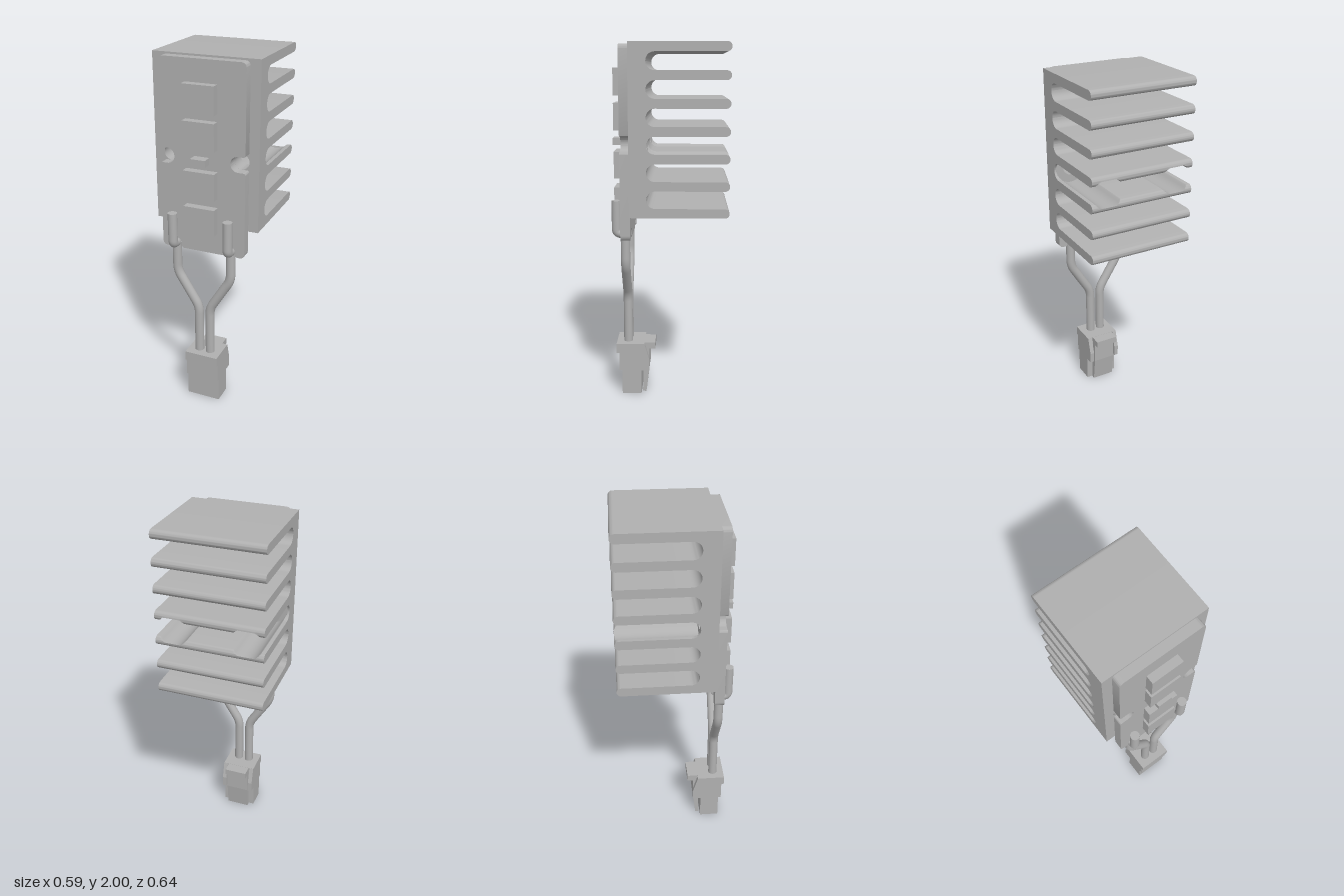
import * as THREE from 'three';
import { toCreasedNormals } from 'three/addons/utils/BufferGeometryUtils.js';

const grey = new THREE.MeshStandardMaterial({ color: 0xb0b0b0 });
grey.name = 'grey';

// Heat sink layout
const HALF_W = 0.295, TOP = 2, FIN = 0.05, FINS = 7, SLOT = (0.91 - FINS * FIN) / (FINS - 1);
const PITCH = FIN + SLOT, R = SLOT / 2, BASE_Z = 0.12, TIP_Z = -0.32;
const HOLE_Y = TOP - FIN - R - 3 * PITCH, HOLE_X = 0.2, HOLE_R = 0.042, GROOVE_R = 0.085;

function mesh(name, geometry) {
  const m = new THREE.Mesh(geometry, grey);
  m.name = name;
  return m;
}

function box(name, x0, x1, y0, y1, z0, z1) {
  const m = mesh(name, new THREE.BoxGeometry(x1 - x0, y1 - y0, z1 - z0));
  m.position.set((x0 + x1) / 2, (y0 + y1) / 2, (z0 + z1) / 2);
  return m;
}

// Extrudes an x-y shape from z0 to z1
function slab(name, shape, z0, z1) {
  const g = new THREE.ExtrudeGeometry(shape, { depth: z1 - z0, bevelEnabled: false, curveSegments: 16 });
  g.translate(0, 0, z0);
  return mesh(name, toCreasedNormals(g, 0.6));
}

// Extrudes a [z, y] outline across x, from x0 to x1
function sideProfile(name, points, x0, x1) {
  const shape = new THREE.Shape(points.map(([z, y]) => new THREE.Vector2(z, y)));
  const g = new THREE.ExtrudeGeometry(shape, { depth: x1 - x0, bevelEnabled: false });
  g.rotateY(-Math.PI / 2).translate(x1, 0, 0);
  return mesh(name, g);
}

// One fin: filleted root, rounded tip, and screw grooves on the two middle fins
function fin(k) {
  const yc = TOP - FIN / 2 - k * PITCH, t = FIN / 2, N = 8;
  const stations = []; // z, half thickness, extra fillet
  for (let i = 0; i <= N; i++) {
    const a = (1 - i / N) * Math.PI / 2;
    stations.push([BASE_Z - R + R * Math.sin(a), t, R - R * Math.cos(a)]);
  }
  for (let i = 0; i <= N; i++) {
    const a = i / N * Math.PI / 2;
    stations.push([TIP_Z + t - t * Math.sin(a), t * Math.cos(a), 0]);
  }
  const xs = [-HALF_W];
  for (const c of [-HOLE_X, HOLE_X]) {
    for (let i = 0; i <= 24; i++) xs.push(c - GROOVE_R * Math.cos(i / 24 * Math.PI));
  }
  xs.push(HALF_W);

  const level = (x, [, h, f]) => {
    let lo = yc - h - (k < FINS - 1 ? f : 0), hi = yc + h + (k > 0 ? f : 0);
    const d = Math.abs(Math.abs(x) - HOLE_X);
    if (d < GROOVE_R) {
      const cut = Math.sqrt(GROOVE_R ** 2 - d * d);
      if (k === 3) lo = Math.min(hi, Math.max(lo, HOLE_Y + cut));
      if (k === 4) hi = Math.max(lo, Math.min(hi, HOLE_Y - cut));
    }
    return [lo, hi];
  };
  const pos = [];
  const quad = (a, b, c, d) => pos.push(...a, ...b, ...c, ...a, ...c, ...d);
  const p = (i, j, s) => [xs[i], level(xs[i], stations[j])[s], stations[j][0]];
  const last = xs.length - 1;
  for (let j = 0; j < stations.length - 1; j++) {
    for (let i = 0; i < last; i++) {
      quad(p(i, j, 1), p(i + 1, j, 1), p(i + 1, j + 1, 1), p(i, j + 1, 1));
      quad(p(i, j, 0), p(i, j + 1, 0), p(i + 1, j + 1, 0), p(i + 1, j, 0));
    }
    quad(p(last, j, 0), p(last, j + 1, 0), p(last, j + 1, 1), p(last, j, 1));
    quad(p(0, j, 0), p(0, j, 1), p(0, j + 1, 1), p(0, j + 1, 0));
  }
  const g = new THREE.BufferGeometry();
  g.setAttribute('position', new THREE.Float32BufferAttribute(pos, 3));
  return mesh('fin', toCreasedNormals(g, 0.6));
}

function heatSink() {
  const group = new THREE.Group();
  group.name = 'heatSink';
  const s = new THREE.Shape();
  s.moveTo(-HALF_W, 1.09).lineTo(HALF_W, 1.09).lineTo(HALF_W, TOP).lineTo(-HALF_W, TOP).closePath();
  for (const x of [-HOLE_X, HOLE_X]) {
    s.holes.push(new THREE.Path().absarc(x, HOLE_Y, HOLE_R, 0, Math.PI * 2, true));
  }
  group.add(slab('heatSinkBase', s, BASE_Z, 0.212));
  for (let k = 0; k < FINS; k++) group.add(fin(k));
  return group;
}

// Circuit board with wire notches below and screw notches at the sides
function board() {
  const w = 0.24, b = 0.95, t = 1.99, r = 0.03, e = 0.012, n = 0.032, nx = 0.158, ny = 0.975;
  const s = new THREE.Shape();
  s.moveTo(-w + r, b);
  for (const x of [-nx, nx]) {
    s.lineTo(x - n - e, b).quadraticCurveTo(x - n, b, x - n, b + e);
    s.lineTo(x - n, ny).absarc(x, ny, n, Math.PI, 0, true);
    s.lineTo(x + n, b + e).quadraticCurveTo(x + n, b, x + n + e, b);
  }
  s.lineTo(w - r, b).quadraticCurveTo(w, b, w, b + r);
  s.lineTo(w, HOLE_Y - HOLE_R - e).quadraticCurveTo(w, HOLE_Y - HOLE_R, w - e, HOLE_Y - HOLE_R);
  s.lineTo(HOLE_X, HOLE_Y - HOLE_R).absarc(HOLE_X, HOLE_Y, HOLE_R, -Math.PI / 2, Math.PI / 2, true);
  s.lineTo(w - e, HOLE_Y + HOLE_R).quadraticCurveTo(w, HOLE_Y + HOLE_R, w, HOLE_Y + HOLE_R + e);
  s.lineTo(w, t - r).quadraticCurveTo(w, t, w - r, t);
  s.lineTo(-w + r, t).quadraticCurveTo(-w, t, -w, t - r);
  s.lineTo(-w, HOLE_Y + HOLE_R + e).quadraticCurveTo(-w, HOLE_Y + HOLE_R, -w + e, HOLE_Y + HOLE_R);
  s.lineTo(-HOLE_X, HOLE_Y + HOLE_R).absarc(-HOLE_X, HOLE_Y, HOLE_R, Math.PI / 2, -Math.PI / 2, true);
  s.lineTo(-w + e, HOLE_Y - HOLE_R).quadraticCurveTo(-w, HOLE_Y - HOLE_R, -w, HOLE_Y - HOLE_R - e);
  s.lineTo(-w, b + r).quadraticCurveTo(-w, b, -w + r, b);
  return slab('circuitBoard', s, 0.212, 0.265);
}

// Wire: a tube along straight runs joined by rounded bends
function wire(xTop, xLow) {
  const pts = [[xTop, 1.16, 0.293], [xTop, 0.976, 0.293], [xTop, 0.976, 0.245],
    [xTop, 0.795, 0.245], [xLow, 0.59, 0.245], [xLow, 0.28, 0.245]].map((p) => new THREE.Vector3(...p));
  const bends = [0, 0.026, 0.022, 0.04, 0.04, 0];
  const path = new THREE.CurvePath();
  let from = pts[0];
  for (let i = 1; i < pts.length - 1; i++) {
    const toward = (q) => pts[i].clone().add(q.clone().sub(pts[i]).setLength(bends[i]));
    const a = toward(pts[i - 1]), b = toward(pts[i + 1]);
    path.add(new THREE.LineCurve3(from, a));
    path.add(new THREE.QuadraticBezierCurve3(a, pts[i], b));
    from = b;
  }
  path.add(new THREE.LineCurve3(from, pts[pts.length - 1]));
  const group = new THREE.Group();
  group.name = 'wire';
  group.add(mesh('wireTube', new THREE.TubeGeometry(path, 160, 0.026, 20)));
  const cap = mesh('wireEnd', new THREE.CircleGeometry(0.026, 20));
  cap.rotation.x = -Math.PI / 2;
  cap.position.copy(pts[0]);
  group.add(cap);
  return group;
}

function connector() {
  const group = new THREE.Group();
  group.name = 'connector';
  const x0 = -0.1, x1 = 0.096;
  // Stepped housing
  group.add(sideProfile('housing', [[0.278, 0], [0.278, 0.143], [0.295, 0.143], [0.295, 0.25],
    [0.31, 0.25], [0.31, 0.305], [0.15, 0.305], [0.15, 0.143], [0.167, 0.143], [0.167, 0]], x0, x1));
  // Side guards and the latch lever between them
  const guard = [[0.152, 0.143], [0.152, 0.304], [0.148, 0.304], [0.12, 0.207], [0.12, 0.143]];
  group.add(sideProfile('sideGuard', guard, x0, x0 + 0.025));
  group.add(sideProfile('sideGuard', guard, x1 - 0.025, x1));
  group.add(sideProfile('latch', [[0.16, 0], [0.155, 0.145], [0.155, 0.304], [0.087, 0.304],
    [0.087, 0.265], [0.122, 0.265], [0.122, 0.143], [0.14, 0]], x0 + 0.032, x1 - 0.032));
  return group;
}

export function createModel() {
  const model = new THREE.Group();
  model.name = 'lightModule';
  model.add(heatSink(), board());
  // Light chips and the small sensor between them
  for (const y of [1.798, 1.61, 1.345, 1.146]) {
    model.add(box('lightChip', -0.09, 0.087, y - 0.074, y + 0.074, 0.264, 0.31));
  }
  model.add(box('sensor', -0.043, 0.041, 1.453, 1.49, 0.264, 0.32));
  model.add(wire(-0.166, -0.037), wire(0.155, 0.029), connector());
  return model;
}
